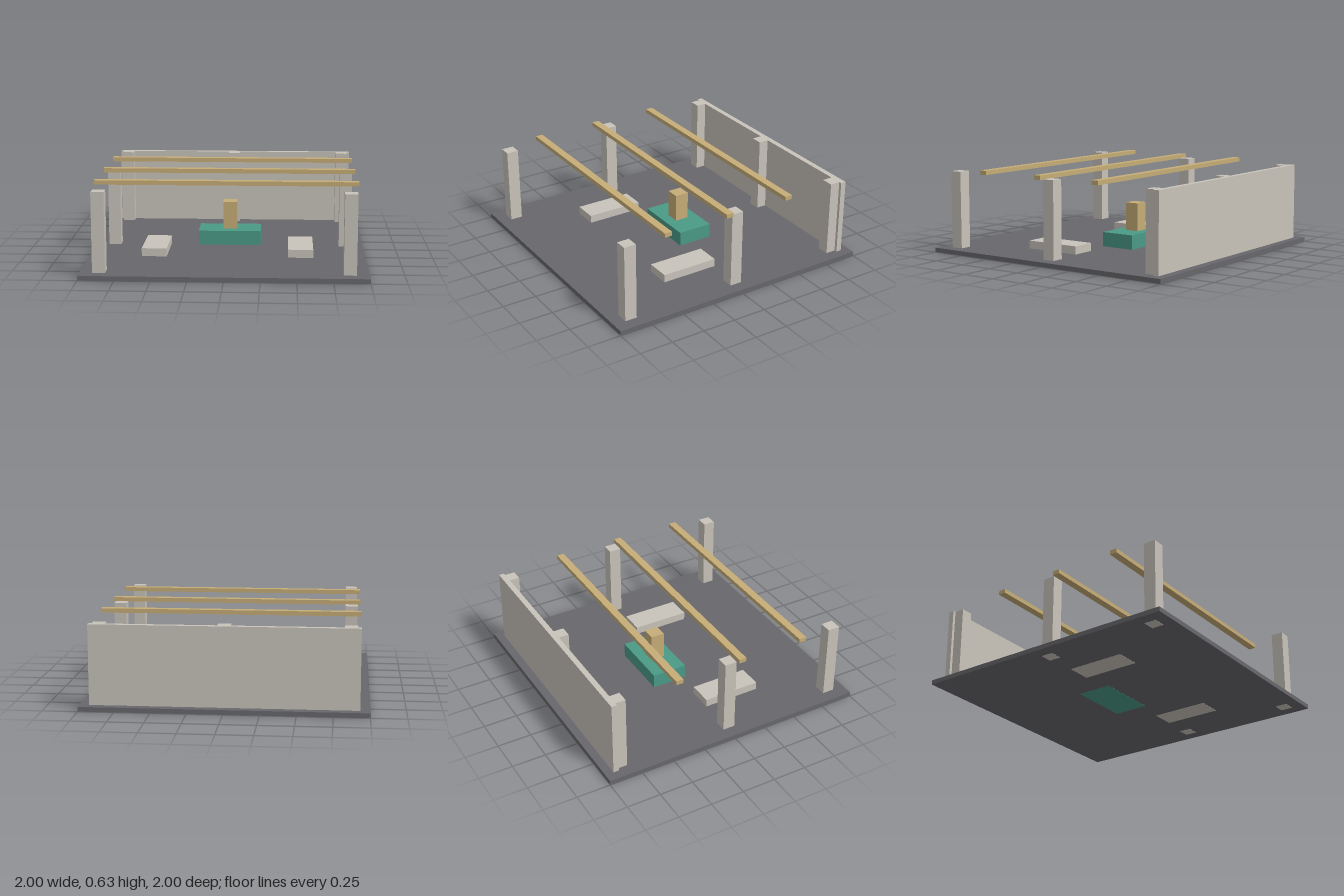
import * as THREE from 'three';

export function createModel() {
  const model = new THREE.Group();
  model.name = 'openPavilion';

  const material = (name, color) => {
    const m = new THREE.MeshStandardMaterial({ color });
    m.name = name;
    return m;
  };
  const slate = material('slate', 0x68676c);
  const stone = material('stone', 0xc8c3ba);
  const wood = material('wood', 0xc6ad77);
  const teal = material('teal', 0x4b9a87);

  // Box given by its extents on each axis
  const box = (name, mat, [x0, x1], [y0, y1], [z0, z1]) => {
    const mesh = new THREE.Mesh(new THREE.BoxGeometry(x1 - x0, y1 - y0, z1 - z0), mat);
    mesh.position.set((x0 + x1) / 2, (y0 + y1) / 2, (z0 + z1) / 2);
    mesh.name = name;
    model.add(mesh);
  };
  const around = (c, half) => [c - half, c + half];

  // Floor slab; the free-standing parts pass through it to the ground
  const floorTop = 0.034;
  box('floor', slate, [-1, 1], [0.001, floorTop], [-1, 1]);

  // Back wall with a post at each end and one in the middle
  box('backWall', stone, [-0.932, 0.932], [floorTop, 0.6], [-0.938, -0.897]);
  for (const x of [-0.865, 0, 0.865]) {
    box('wallPost', stone, around(x, 0.045), [floorTop, 0.6], [-0.91, -0.821]);
  }

  // Free-standing columns and benches on both sides
  for (const side of [-1, 1]) {
    for (const z of [0, 0.865]) {
      box('column', stone, around(side * 0.865, 0.045), [0, 0.6], around(z, 0.045));
    }
    box('bench', stone, around(side * 0.531, 0.091), [0, 0.093], [-0.015, 0.415]);
  }

  // Overhead beams
  for (const z of [-0.42, 0.08, 0.58]) {
    box('beam', wood, [-0.932, 0.932], [0.596, 0.627], around(z, 0.028));
  }

  // Central plinth carrying a wooden block
  box('plinth', teal, [-0.233, 0.233], [0, 0.141], [-0.235, 0.029]);
  box('plinthBlock', wood, [-0.052, 0.052], [0.141, 0.349], [-0.155, -0.05]);

  return model;
}
